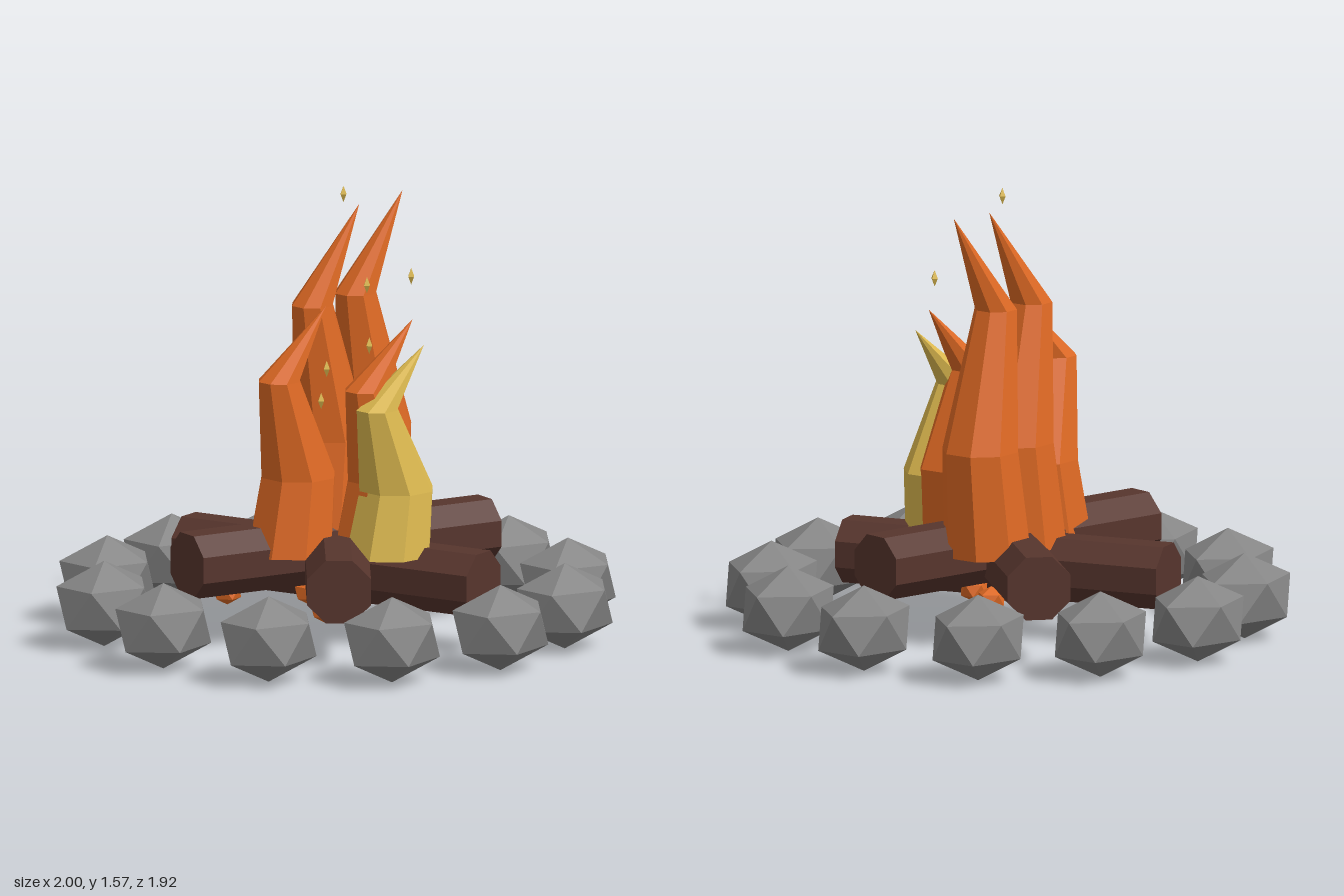
import * as THREE from 'three';

const mat = (name, color) => new THREE.MeshStandardMaterial({ name, color, flatShading: true });

// Icosahedron standing on one corner
function lump(rx, ry, rz) {
  return new THREE.IcosahedronGeometry(1, 0)
    .rotateZ(-Math.atan(2 / (1 + Math.sqrt(5))))
    .scale(rx, ry, rz);
}

// Eight-sided bent flame: rings that wander sideways and close to a tip
function flameGeometry(base, tipY) {
  const sides = 8;
  const rings = [ // height fraction, x shift, z shift, radius
    [0, 0, 0, 0.155], [0.31, 0.035, 0.005, 0.135], [0.715, -0.06, 0.01, 0.075], [1, 0.12, 0.055, 0],
  ];
  const pos = [], index = [];
  for (const [t, dx, dz, r] of rings) {
    for (let i = 0; i < sides; i++) {
      const a = (i + 0.5) / sides * Math.PI * 2;
      pos.push(dx + r * Math.cos(a), t * (tipY - base), dz + r * Math.sin(a));
    }
  }
  for (let k = 0; k < rings.length - 1; k++) {
    for (let i = 0; i < sides; i++) {
      const a = k * sides + i, b = k * sides + (i + 1) % sides;
      index.push(a, a + sides, b);
      if (k < rings.length - 2) index.push(b, a + sides, b + sides);
    }
  }
  for (let i = 1; i < sides - 1; i++) index.push(0, i, i + 1); // underside
  const g = new THREE.BufferGeometry();
  g.setAttribute('position', new THREE.Float32BufferAttribute(pos, 3));
  g.setIndex(index);
  const flat = g.toNonIndexed();
  flat.computeVertexNormals();
  return flat;
}

export function createModel() {
  const model = new THREE.Group();
  model.name = 'campfire';
  const stone = mat('stoneGrey', 0x858585);
  const bark = mat('barkBrown', 0x57352d);
  const orange = mat('flameOrange', 0xe06a24);
  const yellow = mat('flameYellow', 0xdfbb50);

  const add = (name, geo, material, x, y, z) => {
    const m = new THREE.Mesh(geo, material);
    m.name = name;
    m.position.set(x, y, z);
    model.add(m);
    return m;
  };

  // Ring of stones, all facing the same way
  const stoneGeo = lump(0.2, 0.15, 0.166);
  for (let i = 0; i < 12; i++) {
    const a = i * Math.PI / 6;
    add('stone', stoneGeo, stone, 0.82 * Math.cos(a), 0.155, 0.82 * Math.sin(a));
  }

  // Three crossed logs: end x, end z, height
  const logGeo = new THREE.CylinderGeometry(0.119, 0.119, 1.2, 8)
    .rotateY(Math.PI / 8).rotateX(Math.PI / 2);
  for (const [x, z, y] of [[0.147, 0.582, 0.25], [-0.407, 0.443, 0.28], [0.59, 0.128, 0.313]]) {
    add('log', logGeo, bark, 0, y, 0).rotation.y = Math.atan2(x, z);
  }

  // Flames: x, z, tip height, material
  const base = 0.325;
  const flames = [
    [-0.21, -0.01, 1.18, orange], [0, -0.065, 1.5, orange], [0.215, -0.075, 1.515, orange],
    [0.015, 0.185, 1.13, orange], [0.01, 0.247, 1.05, yellow],
  ];
  for (const [x, z, tip, m] of flames) add('flame', flameGeometry(base, tip), m, x, base, z);

  // Glowing embers under the logs
  const emberGeo = lump(0.056, 0.045, 0.05);
  const embers = [[0.24, -0.11], [0.14, 0.04], [0.09, -0.08], [-0.13, 0], [-0.335, -0.19], [-0.3, 0.26]];
  for (const [x, z] of embers) add('ember', emberGeo, orange, x, 0.175, z);

  // Floating sparks
  const sparkGeo = new THREE.OctahedronGeometry(1, 0).scale(0.014, 0.029, 0.014);
  const sparks = [
    [0.045, 1.545, -0.01], [0.085, 1.23, 0.065], [0.2, 1.26, 0.165],
    [0.115, 1.01, 0.045], [-0.225, 1.0, 0.19], [-0.28, 0.9, 0.22],
  ];
  for (const [x, y, z] of sparks) add('spark', sparkGeo, yellow, x, y, z);

  return model;
}
